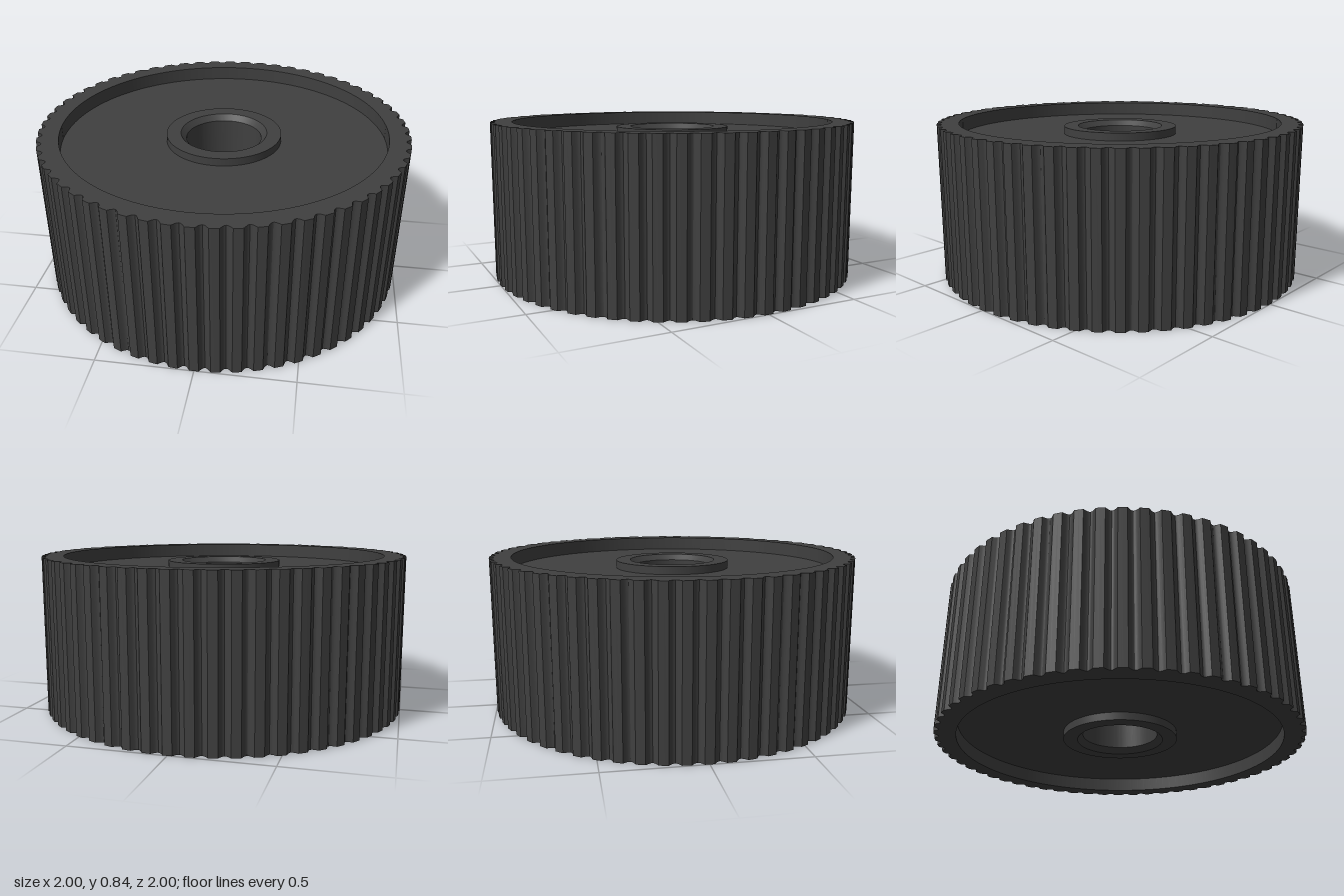
import * as THREE from 'three';
import { toCreasedNormals } from 'three/addons/utils/BufferGeometryUtils.js';

const HEIGHT = 0.84;
const TEETH = 60;
const RIM_INNER = 0.885;

// Outline of the rim: flat tooth lands separated by shallow round grooves
function toothedOutline() {
  const outer = 1, depth = 0.026, landHalf = 0.22, steps = 8;
  const points = [];
  for (let i = 0; i < TEETH; i++) {
    const add = (t, r) => {
      const a = ((i + t) / TEETH) * Math.PI * 2;
      points.push(new THREE.Vector2(Math.cos(a) * r, Math.sin(a) * r));
    };
    add(-landHalf, outer);
    add(0, outer);
    for (let k = 0; k < steps; k++) {
      const s = k / steps;
      add(landHalf + s * (1 - 2 * landHalf), outer - depth * Math.sin(Math.PI * s));
    }
  }
  return new THREE.Shape(points);
}

export function createModel() {
  const group = new THREE.Group();
  group.name = 'toothedPulley';
  const material = new THREE.MeshStandardMaterial({ color: 0x404040 });

  const addPart = (name, geometry) => {
    const mesh = new THREE.Mesh(toCreasedNormals(geometry, 0.4), material);
    mesh.name = name;
    group.add(mesh);
  };

  // Toothed rim, open through the middle
  const outline = toothedOutline();
  const opening = new THREE.Path();
  opening.absarc(0, 0, RIM_INNER, 0, Math.PI * 2, true);
  outline.holes.push(opening);
  const rim = new THREE.ExtrudeGeometry(outline, {
    depth: HEIGHT, bevelEnabled: false, curveSegments: 64,
  });
  rim.rotateX(-Math.PI / 2);
  addPart('toothedRim', rim);

  // Recessed web with a raised hub and a chamfered bore, mirrored top to bottom
  const webY = 0.763, hubY = 0.805, chamfer = 0.03;
  const bore = 0.205, hubRadius = 0.313;
  const upper = [
    [RIM_INNER + 0.02, webY],
    [hubRadius, webY],
    [hubRadius, hubY],
    [bore + chamfer, hubY],
    [bore, hubY - chamfer],
  ];
  const lower = upper.map(([r, y]) => [r, HEIGHT - y]).reverse();
  const profile = [...upper, ...lower, upper[0]].map(([r, y]) => new THREE.Vector2(r, y));
  addPart('webAndHub', new THREE.LatheGeometry(profile, 128));

  return group;
}
